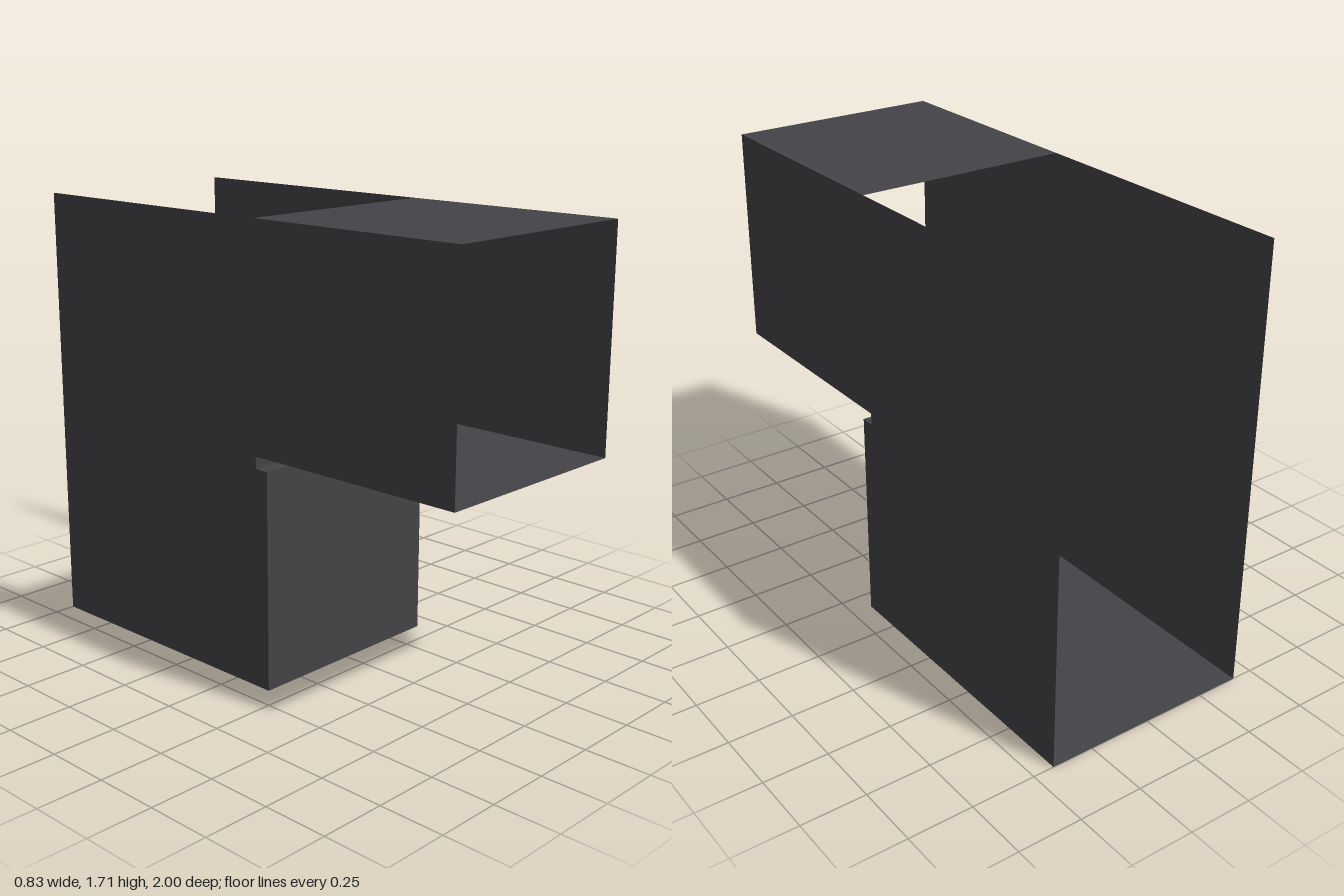
import * as THREE from 'three';

export function createModel() {
  const model = new THREE.Group();
  model.name = 'angledDuct';
  const sheet = new THREE.MeshStandardMaterial({ color: 0x444347, side: THREE.DoubleSide });
  sheet.name = 'charcoalSheet';

  const halfWidth = 0.417, height = 1.708;
  // Underside of the duct as [z, y], from the back bottom edge to the front mouth
  const underside = [[-1, 0], [0.165, 0], [0.165, 0.83], [0.11, 0.83], [0.11, 0.875], [1, 0.875]];

  // Flat panel across the width between two [z, y] points
  function crossPanel(name, [z0, y0], [z1, y1]) {
    const panel = new THREE.Mesh(new THREE.PlaneGeometry(2 * halfWidth, Math.hypot(z1 - z0, y1 - y0)), sheet);
    panel.name = name;
    panel.position.set(0, (y0 + y1) / 2, (z0 + z1) / 2);
    if (y0 === y1) panel.rotation.x = -Math.PI / 2;
    model.add(panel);
  }

  const names = ['baseFloor', 'frontWall', 'notchLedge', 'notchWall', 'armFloor'];
  names.forEach((name, i) => crossPanel(name, underside[i], underside[i + 1]));
  crossPanel('armRoof', [0.11, height], [1, height]);

  // Matching side walls; back and front mouth stay open
  const outline = [...underside, [1, height], [-1, height]];
  const profile = new THREE.Shape(outline.map(([z, y]) => new THREE.Vector2(-z, y)));
  for (const side of [-1, 1]) {
    const wall = new THREE.Mesh(new THREE.ShapeGeometry(profile), sheet);
    wall.name = side > 0 ? 'leftWall' : 'rightWall';
    wall.rotation.y = Math.PI / 2;
    wall.position.x = side * halfWidth;
    model.add(wall);
  }
  return model;
}
